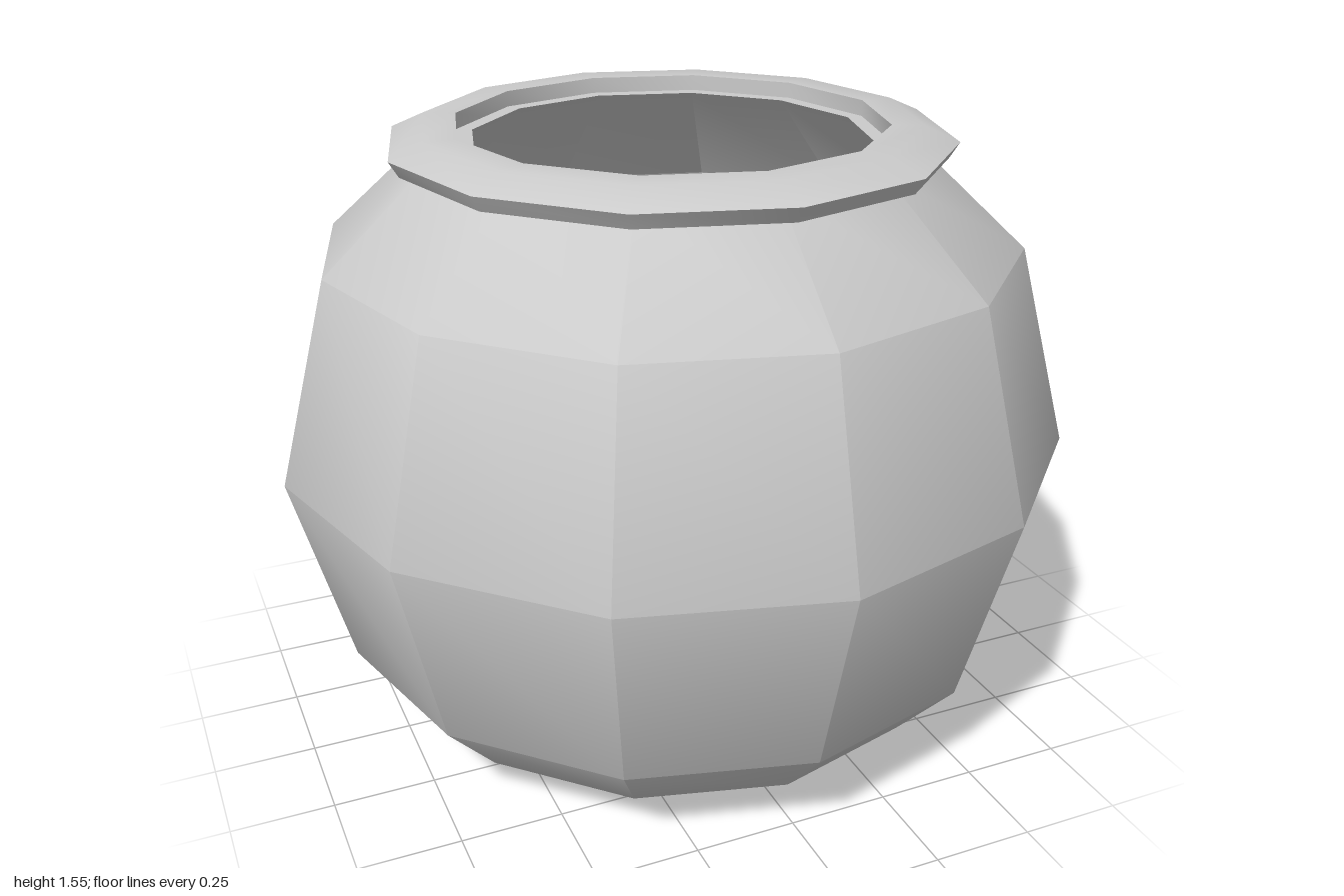
import * as THREE from 'three';
import { toCreasedNormals } from 'three/addons/utils/BufferGeometryUtils.js';

const SIDES = 12;
const CENTRE_Y = 0.757;
const material = new THREE.MeshStandardMaterial({ color: 0xcccccc, side: THREE.DoubleSide });

// Twelve-sided turned part, smooth across facets and sharp at hard edges
function turned(name, profile) {
  const points = profile.map(([r, y]) => new THREE.Vector2(r, y));
  const geometry = toCreasedNormals(new THREE.LatheGeometry(points, SIDES), 0.6);
  const mesh = new THREE.Mesh(geometry, material);
  mesh.name = name;
  return mesh;
}

// Three rings of a coarse sphere: lower, equator, upper
function sphereRings(radius) {
  return [-30, 0, 30].map((deg) => {
    const a = THREE.MathUtils.degToRad(deg);
    return [radius * Math.cos(a), CENTRE_Y + radius * Math.sin(a)];
  });
}

export function createModel() {
  const group = new THREE.Group();
  group.name = 'bowl';

  // Hollow body: shallow pointed base, outer wall, lip ledge, inner wall, floor
  group.add(turned('body', [
    [0, 0], [0.717, 0.09],
    ...sphereRings(1),
    [0.59, 1.51], [0.49, 1.51],
    ...sphereRings(0.91).reverse(),
    [0.64, 0.15], [0, 0.13],
  ]));

  // Overhanging rim around the mouth
  group.add(turned('rim', [
    [0.53, 1.475], [0.67, 1.475], [0.693, 1.513], [0.61, 1.55], [0.53, 1.55], [0.53, 1.475],
  ]));

  return group;
}
